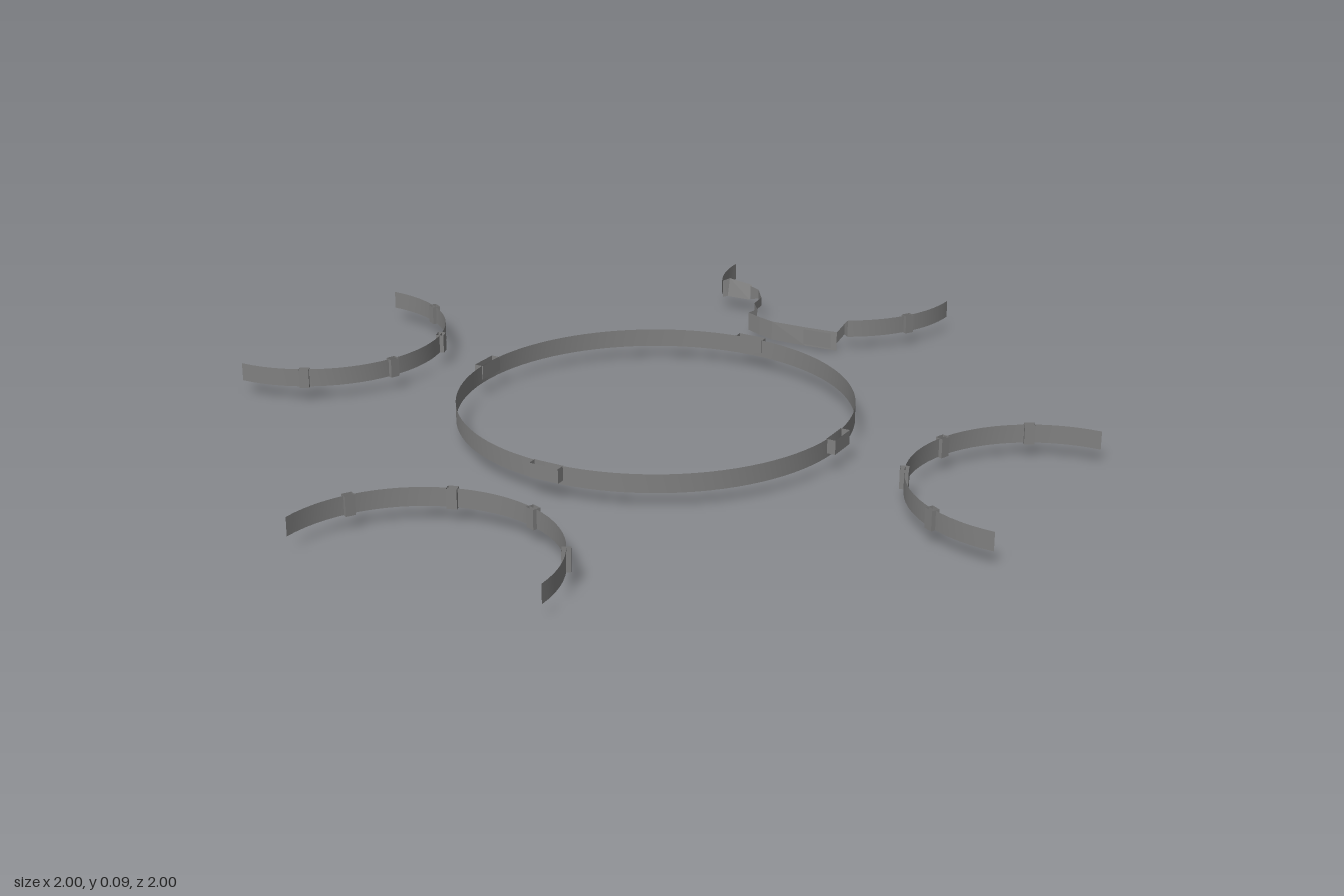
import * as THREE from 'three';

const material = new THREE.MeshStandardMaterial({ color: 0x808080, side: THREE.DoubleSide });
const LOW = 0.035, HIGH = 0.08;
const ARC_RADIUS = 0.32, RING_RADIUS = 0.476;

// Upright sheet through stations [x, z, bottom, top, lean of the top edge in z]
function wall(name, stations, faceted = false) {
  const positions = [], index = [];
  stations.forEach(([x, z, bottom = LOW, top = HIGH, lean = 0], i) => {
    positions.push(x, bottom, z, x, top, z + lean);
    if (i) {
      const a = 2 * i - 2;
      index.push(a, a + 2, a + 1, a + 1, a + 2, a + 3);
    }
  });
  let geometry = new THREE.BufferGeometry();
  geometry.setAttribute('position', new THREE.Float32BufferAttribute(positions, 3));
  geometry.setIndex(index);
  if (faceted) geometry = geometry.toNonIndexed();
  geometry.computeVertexNormals();
  const mesh = new THREE.Mesh(geometry, material);
  mesh.name = name;
  return mesh;
}

// Stations along a circular arc; angle 0 points to +z
function arc(radius, from, to, steps, cz = 0) {
  return Array.from({ length: steps + 1 }, (_, i) => {
    const a = from + (to - from) * i / steps;
    return [radius * Math.sin(a), cz + radius * Math.cos(a)];
  });
}

// Open-topped rectangular sleeve wrapped round a wall
function sleeve(name, width, inner, outer, bottom, top) {
  const w = width / 2;
  return wall(name, [[-w, inner], [-w, outer], [w, outer], [w, inner], [-w, inner]]
    .map(([x, z]) => [x, z, bottom, top]), true);
}

function post(degrees) {
  const pivot = new THREE.Group();
  pivot.name = 'post';
  pivot.add(sleeve('postSleeve', 0.024, ARC_RADIUS - 0.01, ARC_RADIUS + 0.01, LOW - 0.001, HIGH + 0.001));
  pivot.rotation.y = THREE.MathUtils.degToRad(degrees);
  pivot.position.z = -1;
  return pivot;
}

export function createModel() {
  const model = new THREE.Group();
  model.name = 'barrierLayout';

  // Central ring with a plate on each side
  model.add(wall('centralRing', arc(RING_RADIUS, 0, Math.PI * 2, 96)));
  for (let i = 0; i < 4; i++) {
    const plate = sleeve('ringPlate', 0.075, RING_RADIUS - 0.004, 0.495, 0.045, HIGH);
    plate.rotation.y = i * Math.PI / 2;
    model.add(plate);
  }

  // Half-round barriers; index 0 is the collapsed one at the back
  for (let i = 0; i < 4; i++) {
    const barrier = new THREE.Group();
    barrier.name = i ? 'halfRoundBarrier' : 'brokenBarrier';
    barrier.rotation.y = i * Math.PI / 2;
    if (i) {
      barrier.add(wall('barrierWall', arc(ARC_RADIUS, -Math.PI / 2, Math.PI / 2, 36, -1)));
      for (const d of [-60, -19, 19, 60]) barrier.add(post(d));
    } else {
      // Standing ends
      barrier.add(wall('rightEnd', arc(ARC_RADIUS, Math.PI / 6, Math.PI / 2, 24, -1)));
      barrier.add(wall('leftEnd', arc(ARC_RADIUS, -Math.PI / 2, -Math.PI / 3, 12, -1)));
      barrier.add(post(60));
      // Bent panel beside the left end
      barrier.add(wall('bentPanel', [
        [-0.277, -0.845, 0.035, 0.082], [-0.265, -0.85, 0.038, 0.086, -0.012],
        [-0.2, -0.855, 0.037, 0.075, -0.015],
      ], true));
      // Crumpled narrow strip
      barrier.add(wall('crumpledStrip', [
        [-0.2, -0.86, 0.037, 0.075], [-0.17, -0.85, 0.047, 0.072], [-0.135, -0.8, 0.048, 0.07],
        [-0.13, -0.75, 0.045, 0.07], [-0.1, -0.71, 0.035, 0.07], [-0.11, -0.68, 0.02, 0.068],
      ], true));
      // Sagging panel that touches the ground, with a loose plate on its face
      barrier.add(wall('saggingPanel', [
        [-0.11, -0.68, 0.02, 0.068], [-0.07, -0.667, 0.017, 0.066], [-0.03, -0.66, 0.013, 0.063],
        [0.06, -0.678, 0.006, 0.056, -0.003], [0.14, -0.7, 0, 0.05, -0.003],
      ], true));
      barrier.add(wall('loosePlate', [
        [0.06, -0.667, 0.015, 0.055], [0.13, -0.684, 0.01, 0.05],
      ]));
      barrier.add(wall('tornEdge', [
        [0.14, -0.7, 0.02, 0.05], [0.145, -0.735, 0.035, 0.065], [0.16, -0.723],
      ], true));
    }
    model.add(barrier);
  }
  return model;
}
